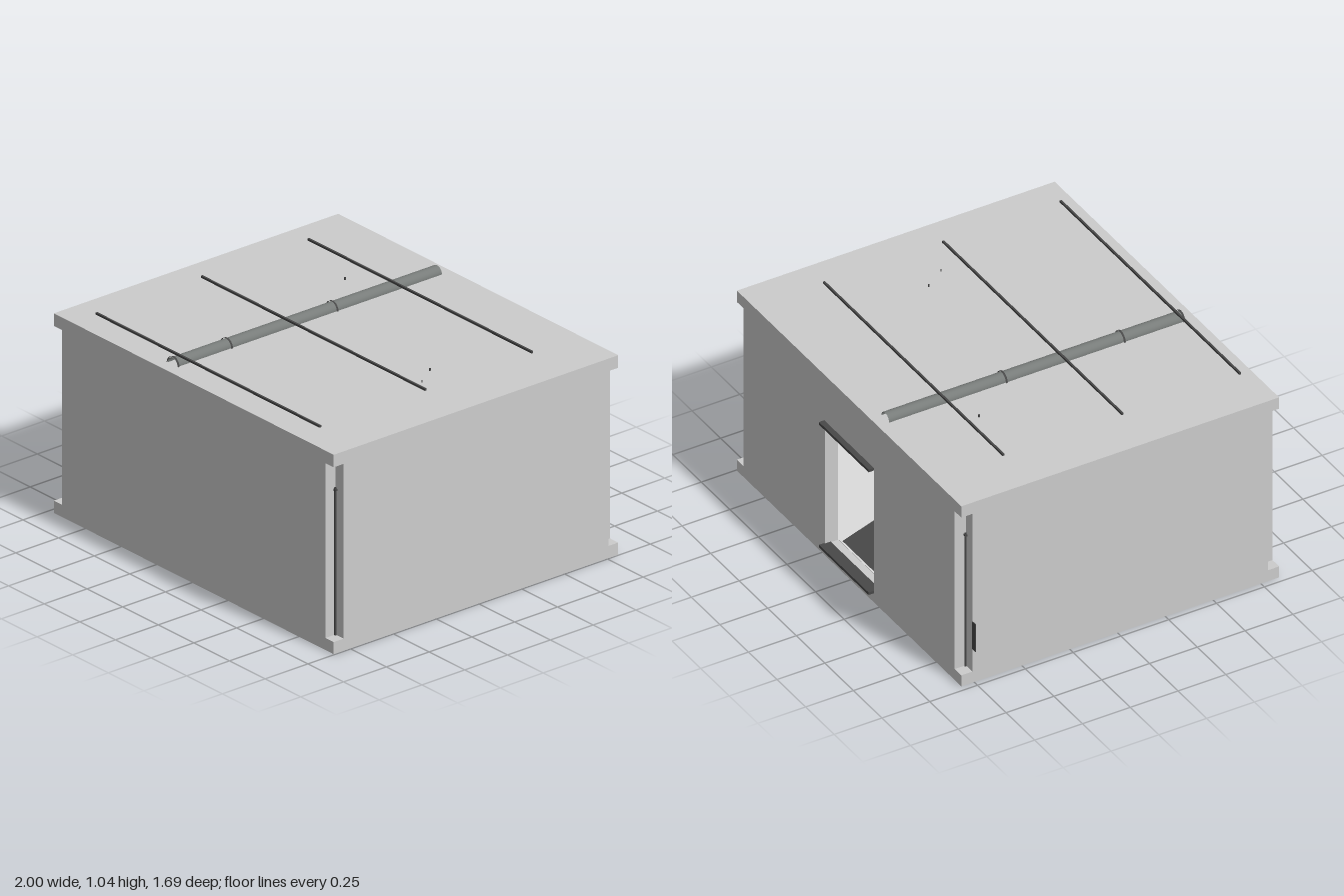
import * as THREE from 'three';

const mat = (name, color, side = THREE.FrontSide) => {
  const m = new THREE.MeshStandardMaterial({ color, side });
  m.name = name;
  return m;
};

// Shell limits
const X0 = -0.97, X1 = 0.995, Z0 = -0.817, Z1 = 0.845;
const FLOOR = 0.06, CEILING = 0.925, ROOF = 0.987;
const NOTCH = 0.058, WALL = 0.07;
const DOOR = { x0: -0.205, x1: 0.225, top: 0.735 };

export function createModel() {
  const concrete = mat('concrete', 0xcccccc);
  const paleFloor = mat('paleFloor', 0xdcdcdc);
  const pipeGrey = mat('pipeGrey', 0x787c7a, THREE.DoubleSide);
  const darkMetal = mat('darkMetal', 0x484848, THREE.DoubleSide);
  const root = new THREE.Group();
  root.name = 'room';

  const add = (name, geo, material, x = 0, y = 0, z = 0) => {
    const m = new THREE.Mesh(geo, material);
    m.name = name;
    m.position.set(x, y, z);
    root.add(m);
    return m;
  };
  // Box given by its two limits on each axis
  const block = (name, material, x0, x1, y0, y1, z0, z1) =>
    add(name, new THREE.BoxGeometry(x1 - x0, y1 - y0, z1 - z0), material,
      (x0 + x1) / 2, (y0 + y1) / 2, (z0 + z1) / 2);
  // Straight round bar between two points
  const bar = (name, a, b, r, material = darkMetal) => {
    const path = new THREE.LineCurve3(new THREE.Vector3(...a), new THREE.Vector3(...b));
    return add(name, new THREE.TubeGeometry(path, 1, r, 8), material);
  };
  // Plan outline [x, z] raised between two heights
  const raise = (name, points, y0, y1, hole) => {
    const toShape = (p) => p.map(([x, z]) => new THREE.Vector2(x, -z));
    const shape = new THREE.Shape(toShape(points));
    if (hole) shape.holes.push(new THREE.Path(toShape(hole)));
    const geo = new THREE.ExtrudeGeometry(shape, { depth: y1 - y0, bevelEnabled: false });
    geo.rotateX(-Math.PI / 2);
    return add(name, geo, concrete, 0, y0, 0);
  };

  // Floor and roof slabs
  block('floorSlab', concrete, X0, X1, 0, FLOOR, Z0, Z1);
  block('roofSlab', concrete, X0, X1, CEILING, ROOF, Z0, Z1);

  // Walls with notched corners; the outline starts at the back wall
  const n = NOTCH, w = WALL;
  const outline = [
    [X0 + n, Z0], [X0 + n, Z0 + n], [X0, Z0 + n], [X0, Z1 - n], [X0 + n, Z1 - n], [X0 + n, Z1],
    [X1 - n, Z1], [X1 - n, Z1 - n], [X1, Z1 - n], [X1, Z0 + n], [X1 - n, Z0 + n], [X1 - n, Z0],
  ];
  const inner = [[X0 + w, Z0 + w], [X0 + w, Z1 - w], [X1 - w, Z1 - w], [X1 - w, Z0 + w]];
  raise('lowerWalls', [
    [DOOR.x0, Z0], ...outline, [DOOR.x1, Z0], [DOOR.x1, Z0 + w],
    ...[...inner].reverse(), [DOOR.x0, Z0 + w],
  ], FLOOR, DOOR.top);
  raise('upperWalls', outline, DOOR.top, CEILING, inner);

  // Doorway rails at head and sill
  block('doorHead', darkMetal, DOOR.x0, DOOR.x1 + 0.005, 0.723, 0.737, -0.845, Z0 + 0.03);
  block('doorSill', darkMetal, DOOR.x0, DOOR.x1 + 0.005, 0.05, 0.064, -0.845, Z0 + 0.03);

  // Rods standing in the four corner notches
  for (const x of [X0 + n - 0.005, X1 - n + 0.005]) {
    for (const z of [Z0 + n - 0.005, Z1 - n + 0.005]) {
      bar('cornerRod', [x, FLOOR, z], [x, 0.79, z], 0.005);
      block('rodClip', darkMetal, x - 0.008, x + 0.008, 0.775, 0.785, z - 0.006, z + 0.006);
    }
  }

  // Side plate beside the back corner
  block('sidePlate', darkMetal, -1.0, X0, 0.185, 0.335, -0.761, -0.757);

  // Half-round duct along the roof with collars
  const halfTube = (name, r, z0, z1, material) => {
    const geo = new THREE.CylinderGeometry(r, r, z1 - z0, 20, 1, true, Math.PI / 2, Math.PI);
    geo.rotateX(Math.PI / 2);
    return add(name, geo, material, -0.208, ROOF, (z0 + z1) / 2);
  };
  halfTube('roofDuct', 0.034, -0.76, 0.785, pipeGrey);
  for (const z of [-0.147, 0.47, 0.782]) halfTube('ductCollar', 0.039, z - 0.005, z + 0.005, darkMetal);

  // Long rods over the roof
  for (const z of [-0.48, 0.143, 0.758]) {
    block('roofRod', darkMetal, -0.775, 0.797, 1.026, 1.036, z - 0.005, z + 0.005);
  }
  // Small roof pins
  for (const [x, z, r] of [[-0.41, -0.39, 0.004], [0.58, -0.062, 0.004], [0.655, 0.047, 0.002]]) {
    bar('roofPin', [x, ROOF, z], [x, ROOF + 0.012, z], r);
  }

  // Interior floor finish and dark floor covering
  block('floorFinish', paleFloor, X0 + w, X1 - w, FLOOR, FLOOR + 0.002, Z0 + w, Z1 - w);
  const mat1 = new THREE.ShapeGeometry(new THREE.Shape([
    new THREE.Vector2(-0.7, 0.74), new THREE.Vector2(0.2, 0.74),
    new THREE.Vector2(0.5, -0.18), new THREE.Vector2(-0.7, -0.18),
  ]));
  add('floorCovering', mat1.rotateX(-Math.PI / 2), darkMetal, 0, FLOOR + 0.005, 0);
  for (let i = 0; i < 3; i++) {
    const d = i * 0.09;
    bar('floorPipe', [0.85, 0.07, 0.3 + d], [0.45 + d, 0.07, 0.66 + d / 2], 0.006);
  }

  // Ceiling pipes inside
  for (const z of [-0.48, 0.143, 0.7]) bar('ceilingPipe', [-0.85, 0.9, z], [0.88, 0.9, z], 0.012);
  bar('ceilingBrace', [-0.7, 0.88, -0.4], [0.3, 0.88, 0.6], 0.012);

  return root;
}
